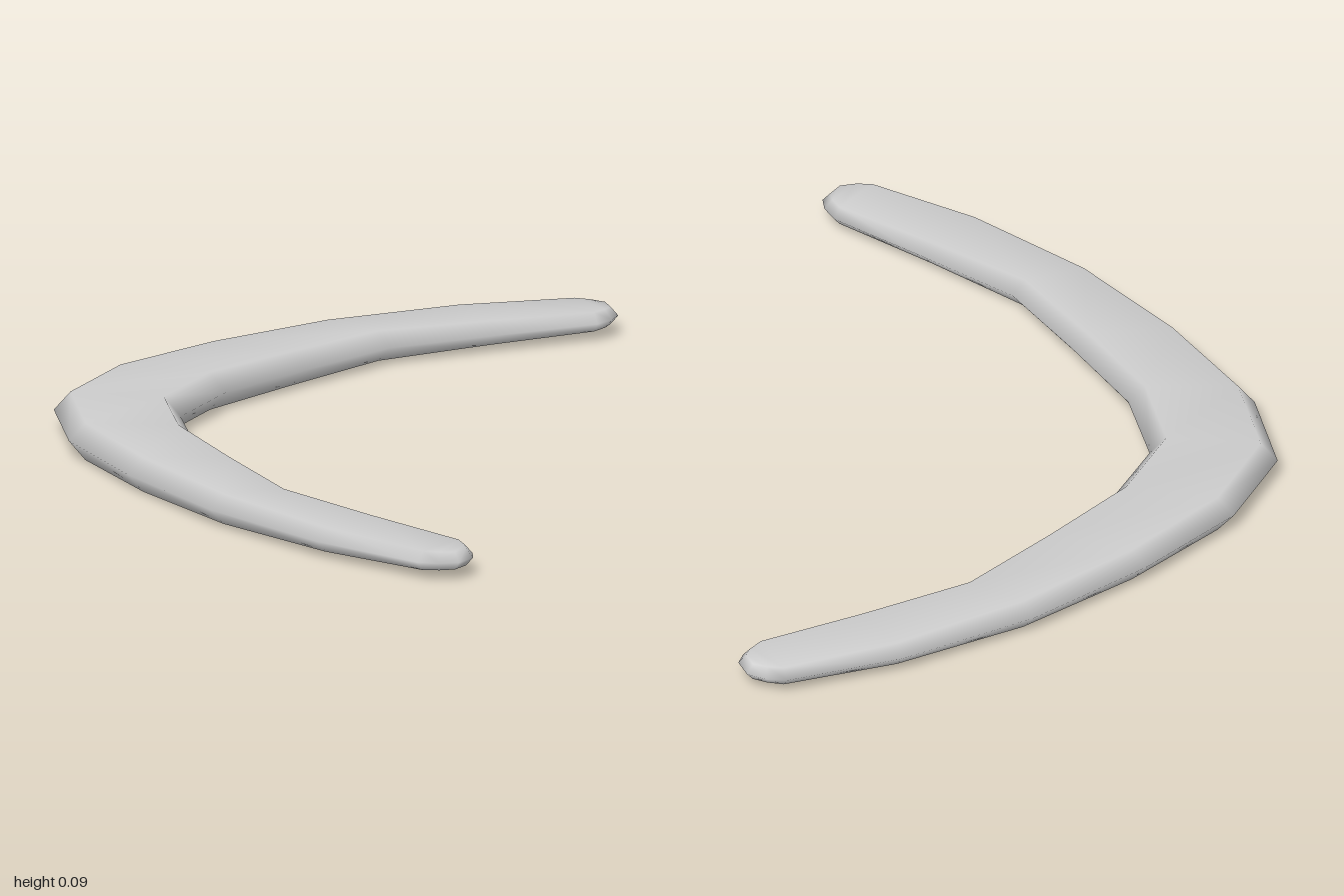
import * as THREE from 'three';

// Stations along one arm, elbow to tip: outer x, z, inner x, z, half thickness
const ARM = [
  [-0.577, 0.00, -0.28, 0.00, 0.046],
  [-0.50, 0.23, -0.21, 0.20, 0.045],
  [-0.32, 0.46, -0.06, 0.40, 0.041],
  [-0.085, 0.69, 0.10, 0.60, 0.036],
  [0.20, 0.885, 0.32, 0.735, 0.029],
  [0.455, 1.00, 0.54, 0.865, 0.023],
  [0.505, 1.00, 0.567, 0.905, 0.022],
  [0.55, 0.985, 0.575, 0.94, 0.021],
];
const TIP = [0.50, 0.93]; // centre of the rounded tip
const MID_Y = 0.047;

// Six-sided section: sharp rims at mid height, inset edges above and below
function section([ox, oz, ix, iz, h], i, sign) {
  const centre = i > 5 ? TIP : [(ox + ix) / 2, (oz + iz) / 2];
  const inset = (x, z) => {
    const dx = centre[0] - x, dz = centre[1] - z;
    const k = 0.85 * h / Math.hypot(dx, dz);
    return [x + dx * k, z + dz * k];
  };
  const o = inset(ox, oz), n = inset(ix, iz);
  return [
    [ox, 0, oz], [o[0], h, o[1]], [n[0], h, n[1]],
    [ix, 0, iz], [n[0], -h, n[1]], [o[0], -h, o[1]],
  ].map(([x, y, z]) => [x, MID_Y + y, z * sign]);
}

export function createModel() {
  const group = new THREE.Group();
  group.name = 'boomerang';

  // Mirror the arm through the elbow into one run of sections
  const rings = [];
  for (let i = ARM.length - 1; i > 0; i--) rings.push(section(ARM[i], i, -1));
  ARM.forEach((s, i) => rings.push(section(s, i, 1)));

  // Skin between neighbouring sections
  const index = [];
  for (let r = 0; r < rings.length - 1; r++) {
    for (let j = 0; j < 6; j++) {
      const a = r * 6 + j, b = r * 6 + (j + 1) % 6;
      index.push(a, a + 6, b, b, a + 6, b + 6);
    }
  }

  // Close both tips with an upper and a lower bevel
  const e = (rings.length - 1) * 6;
  for (const [p, q, s, t] of [[0, 1, 2, 3], [3, 4, 5, 0]]) {
    index.push(p, q, s, p, s, t);
    index.push(e + p, e + s, e + q, e + p, e + t, e + s);
  }

  const geometry = new THREE.BufferGeometry();
  geometry.setAttribute('position', new THREE.Float32BufferAttribute(rings.flat(2), 3));
  geometry.setIndex(index);
  geometry.computeVertexNormals();

  const body = new THREE.Mesh(geometry, new THREE.MeshStandardMaterial({ color: 0xcccccc }));
  body.name = 'curvedBlade';
  group.add(body);
  return group;
}
